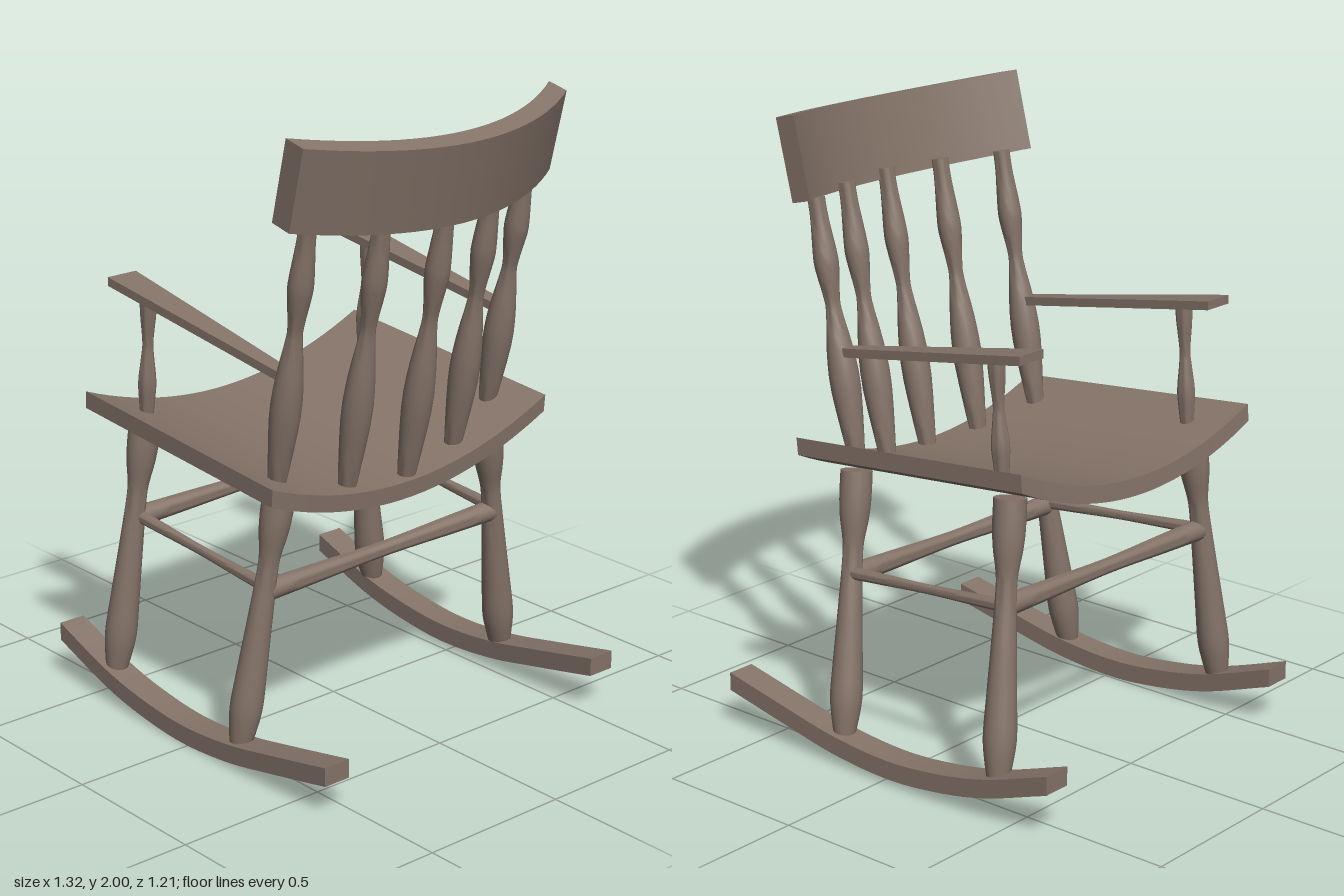
import * as THREE from 'three';
import { toCreasedNormals } from 'three/addons/utils/BufferGeometryUtils.js';

const wood = new THREE.MeshStandardMaterial({ color: 0x857469 });
const V = (x, y, z) => new THREE.Vector3(x, y, z);
const lerp = THREE.MathUtils.lerp;

function add(group, name, geometry) {
  const mesh = new THREE.Mesh(geometry, wood);
  mesh.name = name;
  group.add(mesh);
  return mesh;
}

// Solid lofted through four-cornered sections, section(t) for t = 0..1
function loft(steps, section) {
  const pos = [];
  const quad = (a, b, c, d) => [a, b, c, a, c, d].forEach((p) => pos.push(...p));
  const rows = Array.from({ length: steps + 1 }, (_, i) => section(i / steps));
  for (let i = 0; i < steps; i++) {
    for (let k = 0; k < 4; k++) {
      const m = (k + 1) % 4;
      quad(rows[i][k], rows[i][m], rows[i + 1][m], rows[i + 1][k]);
    }
  }
  const [first, last] = [rows[0], rows[steps]];
  quad(first[3], first[2], first[1], first[0]);
  quad(last[0], last[1], last[2], last[3]);
  const g = new THREE.BufferGeometry();
  g.setAttribute('position', new THREE.Float32BufferAttribute(pos, 3));
  return toCreasedNormals(g, 0.6);
}

// Turned bar from a to b; profile holds [fraction of length, radius]
function turned(group, name, a, b, profile) {
  const length = a.distanceTo(b);
  const curve = new THREE.SplineCurve(profile.map(([t, r]) => new THREE.Vector2(r, t * length)));
  const pts = curve.getPoints(24);
  pts.unshift(new THREE.Vector2(0, 0));
  pts.push(new THREE.Vector2(0, length));
  const mesh = add(group, name, toCreasedNormals(new THREE.LatheGeometry(pts, 20), 0.8));
  mesh.position.copy(a);
  mesh.quaternion.setFromUnitVectors(V(0, 1, 0), b.clone().sub(a).normalize());
}

const LEG = [[0, 0.032], [0.08, 0.044], [0.16, 0.051], [0.28, 0.047], [0.5, 0.038],
  [0.67, 0.032], [0.74, 0.034], [0.82, 0.045], [0.9, 0.05], [1, 0.05]];
const SPINDLE = [[0, 0.026], [0.1, 0.035], [0.28, 0.047], [0.42, 0.041], [0.56, 0.025],
  [0.62, 0.025], [0.73, 0.037], [0.79, 0.037], [0.92, 0.028], [1, 0.027]];
const POST = [[0, 0.02], [0.15, 0.025], [0.3, 0.028], [0.5, 0.02], [0.62, 0.017], [0.85, 0.025], [1, 0.027]];
const RAIL = [[0, 0.034], [0.2, 0.03], [0.5, 0.024], [0.8, 0.03], [1, 0.034]];
const SIDE_RAIL = [[0, 0.02], [0.2, 0.018], [0.5, 0.015], [0.8, 0.018], [1, 0.02]];

export function createModel() {
  const chair = new THREE.Group();
  chair.name = 'rockingChair';

  // Dished seat, sloping down to the back (+x)
  const seatY = (x, z) => {
    const w = z - 0.035;
    return 0.855 + 0.081 * (0.41 - x) + 0.4 * w * w - 0.04 * w;
  };
  add(chair, 'seat', loft(24, (t) => {
    const z = lerp(-0.52, 0.59, t);
    const front = seatY(-0.49, z), back = seatY(0.41, z);
    return [[-0.495, front - 0.055, z], [0.405, back - 0.055, z], [0.41, back, z], [-0.49, front, z]];
  }));

  // Curved, reclined top rail of the back
  add(chair, 'crestRail', loft(24, (t) => {
    const u = 2 * t - 1;
    const z = lerp(-0.5, 0.56, t);
    const outer = 0.66 - 0.16 * u * u + 0.016 * u;
    const inner = outer - 0.068 - 0.006 * u * u;
    const topY = (x) => 2 - 0.23 * (x - 0.4);
    return [[inner - 0.062, topY(inner) - 0.252, z], [outer - 0.062, topY(outer) - 0.252, z],
      [outer, topY(outer), z], [inner, topY(inner), z]];
  }));

  // Back spindles: z, bottom x, top x
  [[0.463, 0.275, 0.425], [0.242, 0.335, 0.495], [0.025, 0.36, 0.53], [-0.212, 0.315, 0.475], [-0.432, 0.24, 0.39]]
    .forEach(([z, x0, x1]) => turned(chair, 'backSpindle',
      V(x0, seatY(x0, z) - 0.02, z), V(x1, 1.74, z), SPINDLE));

  const rockerCurve = new THREE.CatmullRomCurve3([V(-0.66, 0.137, 0), V(-0.4, 0.05, 0), V(-0.2, 0.013, 0),
    V(-0.02, 0, 0), V(0.2, 0.017, 0), V(0.4, 0.055, 0), V(0.65, 0.107, 0)]);

  for (const side of [1, -1]) {
    const label = side > 0 ? 'left' : 'right';
    const lift = side > 0 ? 0 : 0.018;

    // Rocker
    add(chair, label + 'Rocker', loft(28, (t) => {
      const p = rockerCurve.getPoint(t);
      const y0 = p.y + lift, y1 = y0 + 0.06;
      const [z0, z1] = side > 0 ? [0.507, 0.6] : [-0.605, -0.51];
      return [[p.x, y0, z0], [p.x, y1, z0], [p.x, y1, z1], [p.x, y0, z1]];
    }));

    // Splayed legs
    const topZ = side > 0 ? 0.435 : -0.41;
    turned(chair, label + 'FrontLeg', V(-0.428, 0.09 + lift, side * 0.55), V(-0.37, 0.955, topZ + side * 0.015), LEG);
    turned(chair, label + 'BackLeg', V(0.2, 0.055 + lift, side * 0.552), V(0.263, 0.9, topZ), LEG);

    // Side stretcher
    turned(chair, label + 'SideStretcher', V(-0.39, 0.62 + lift, side * 0.478),
      V(0.238, 0.57 + lift, side * 0.472), SIDE_RAIL);

    // Arm, tapering towards the back
    const armZ = side > 0 ? 0.467 : -0.432;
    const armY = (x) => 1.392 - 0.158 * (x + 0.455) + lift;
    add(chair, label + 'Arm', loft(1, (t) => {
      const x = lerp(-0.455, side > 0 ? 0.32 : 0.28, t);
      const half = lerp(0.054, 0.024, t);
      const y1 = armY(x), y0 = y1 - 0.028;
      return [[x, y0, armZ - half], [x, y1, armZ - half], [x, y1, armZ + half], [x, y0, armZ + half]];
    }));

    // Arm post
    turned(chair, label + 'ArmPost', V(-0.345, seatY(-0.345, armZ) - 0.02, armZ),
      V(-0.322, armY(-0.322) - 0.015, armZ), POST);
  }

  // Cross stretchers between the legs
  turned(chair, 'frontStretcher', V(-0.39, 0.615, 0.475), V(-0.39, 0.635, -0.465), RAIL);
  turned(chair, 'backStretcher', V(0.238, 0.56, 0.475), V(0.238, 0.58, -0.465), RAIL);

  return chair;
}
